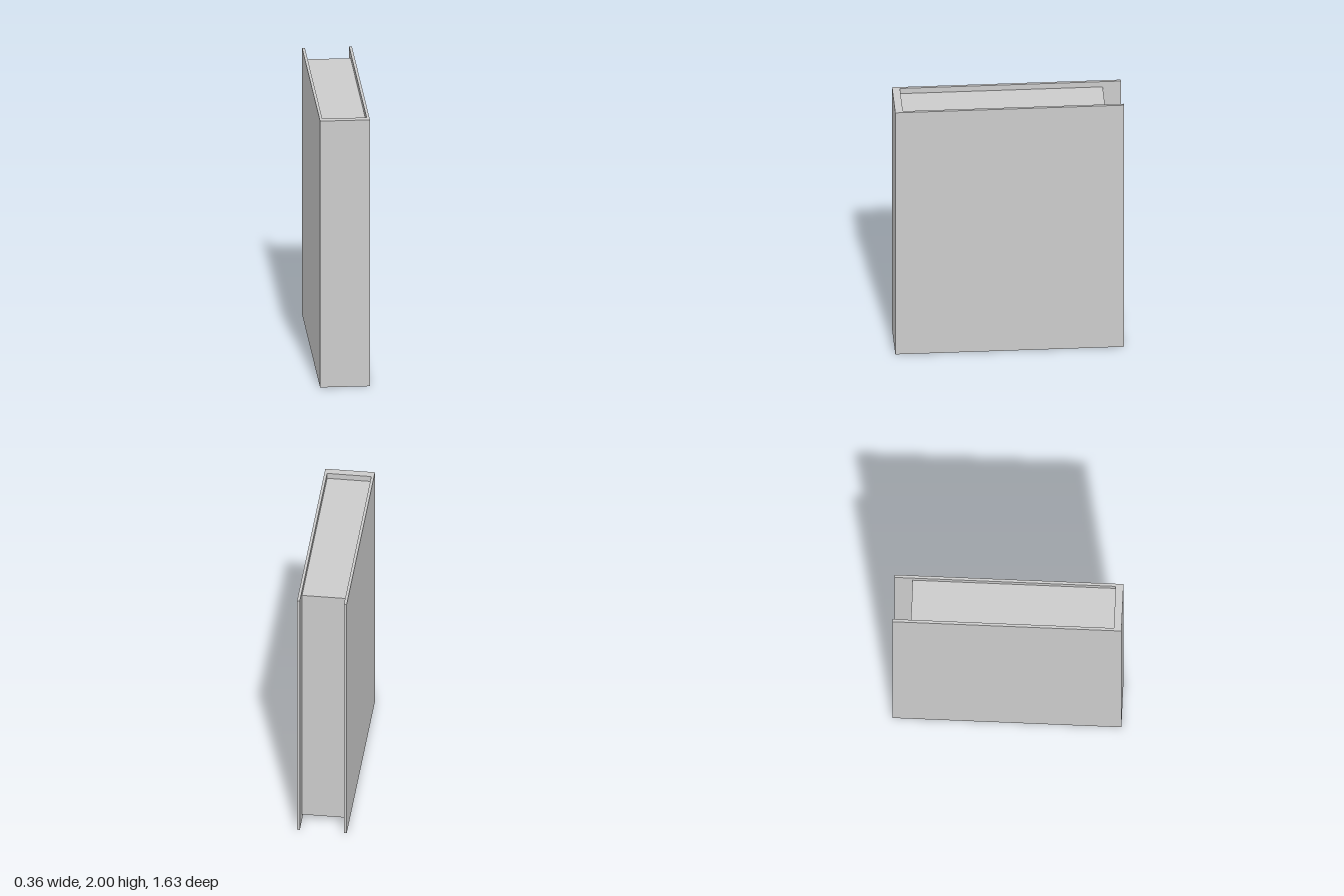
import * as THREE from 'three';

export function createModel() {
  const group = new THREE.Group();
  group.name = 'book';
  const material = new THREE.MeshStandardMaterial({ color: 0xcccccc, flatShading: true });

  const height = 2, halfWidth = 0.178, halfDepth = 0.815;
  const board = 0.02;     // cover board thickness
  const spine = 0.055;    // spine thickness
  const inset = 0.043;    // pages stop short of the cover at top and bottom
  const pageBack = -0.685; // fore edge of the pages
  const inner = halfWidth - board;
  const spineInner = halfDepth - spine;

  // Cover: U-shaped outline (two boards and the spine), extruded upwards
  const outline = new THREE.Shape([
    [-halfWidth, -halfDepth], [halfWidth, -halfDepth], [halfWidth, halfDepth],
    [inner, halfDepth], [inner, -spineInner], [-inner, -spineInner],
    [-inner, halfDepth], [-halfWidth, halfDepth],
  ].map(([x, y]) => new THREE.Vector2(x, y)));
  const coverGeometry = new THREE.ExtrudeGeometry(outline, { depth: height, bevelEnabled: false });
  coverGeometry.rotateX(-Math.PI / 2);
  const cover = new THREE.Mesh(coverGeometry, material);
  cover.name = 'cover';
  group.add(cover);

  // Page block between the boards, glued to the spine
  const pages = new THREE.Mesh(
    new THREE.BoxGeometry(inner * 2, height - inset * 2, spineInner - pageBack), material);
  pages.name = 'pages';
  pages.position.set(0, height / 2, (spineInner + pageBack) / 2);
  group.add(pages);

  return group;
}
